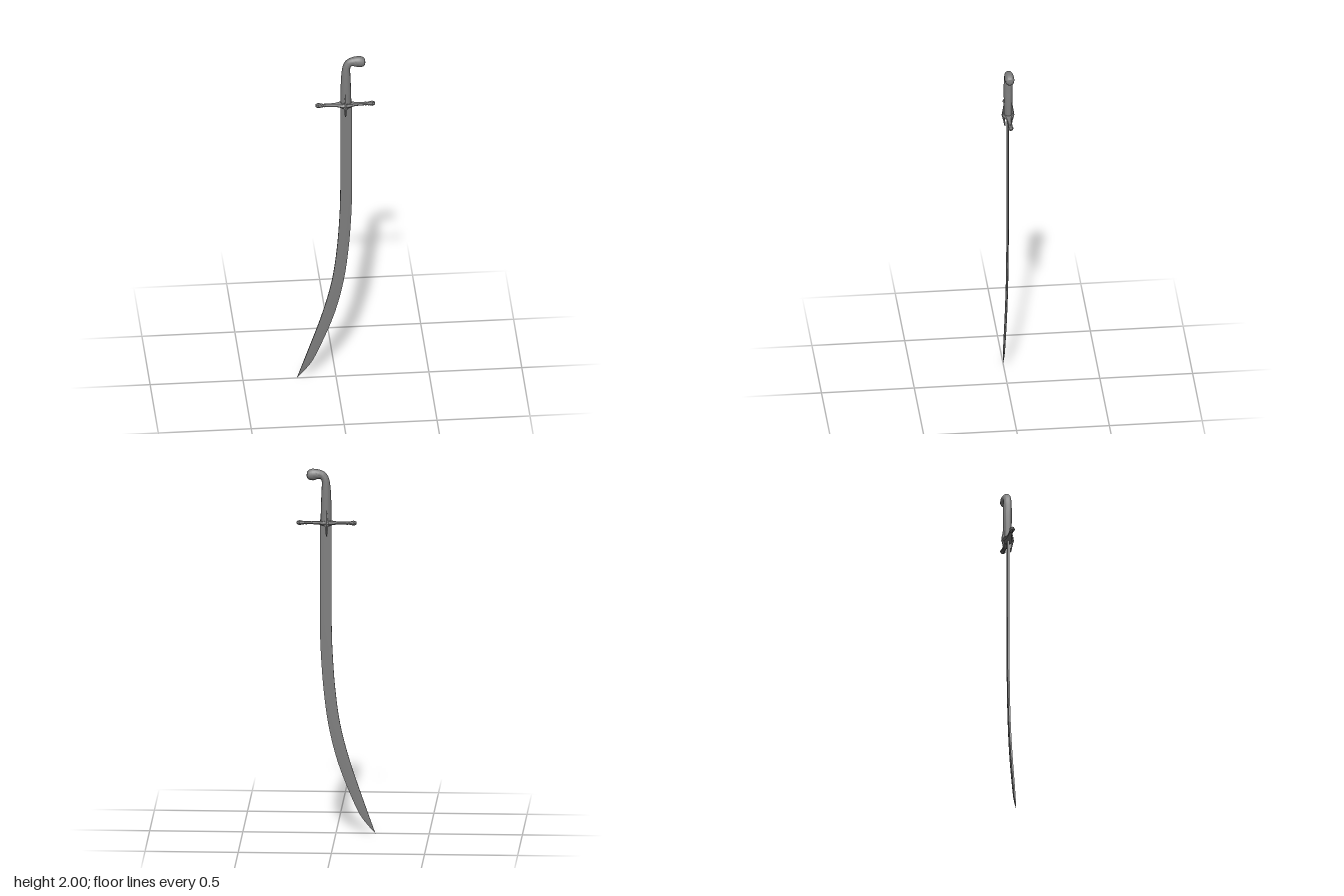
import * as THREE from 'three';
import { toCreasedNormals } from 'three/addons/utils/BufferGeometryUtils.js';

const X = new THREE.Vector3(1, 0, 0);
const Y = new THREE.Vector3(0, 1, 0);
const Z = new THREE.Vector3(0, 0, 1);
const GUARD_X = 0.05, GUARD_Y = 1.703;

// Closed skin over a list of rings; each ring turns right-handed about the direction of travel.
function loft(rings, crease) {
  const n = rings[0].length;
  const pos = [];
  const tri = (a, b, c) => { for (const p of [a, b, c]) pos.push(p.x, p.y, p.z); };
  for (let i = 0; i + 1 < rings.length; i++) {
    for (let j = 0; j < n; j++) {
      const k = (j + 1) % n;
      tri(rings[i][j], rings[i][k], rings[i + 1][k]);
      tri(rings[i][j], rings[i + 1][k], rings[i + 1][j]);
    }
  }
  const first = rings[0], last = rings[rings.length - 1];
  for (let j = 1; j + 1 < n; j++) {
    tri(first[0], first[j + 1], first[j]);
    tri(last[0], last[j], last[j + 1]);
  }
  const geo = new THREE.BufferGeometry();
  geo.setAttribute('position', new THREE.Float32BufferAttribute(pos, 3));
  return toCreasedNormals(geo, crease);
}

// Elliptical (or low-sided) ring around a centre in the plane of u and v.
function ring(c, u, v, ru, rv, sides) {
  return Array.from({ length: sides }, (_, j) => {
    const a = (j / sides) * Math.PI * 2;
    return c.clone().addScaledVector(u, ru * Math.cos(a)).addScaledVector(v, rv * Math.sin(a));
  });
}

// Curved blade: thick spine on -x, cutting edge on +x.
function bladeGeometry() {
  const profile = [ // y, spine x, edge x, half thickness
    [1.72, 0.024, 0.085, 0.005], [1.4, 0.024, 0.086, 0.005], [1.12, 0.023, 0.086, 0.005],
    [1.0, 0.019, 0.082, 0.005], [0.8, 0.005, 0.068, 0.005], [0.6, -0.022, 0.042, 0.0048],
    [0.4, -0.073, -0.006, 0.0046], [0.2, -0.14, -0.082, 0.0044], [0.1, -0.175, -0.129, 0.004],
    [0.05, -0.193, -0.166, 0.003], [0.0, -0.211, -0.2105, 0.0003],
  ];
  const along = (k) => new THREE.CatmullRomCurve3(
    profile.map((p) => new THREE.Vector3(p[k], p[0], p[3])), false, 'centripetal');
  const spine = along(1), edge = along(2);
  const rings = [];
  const steps = 40;
  for (let i = 0; i <= steps; i++) {
    const s = spine.getPoint(i / steps), e = edge.getPoint(i / steps);
    const at = (f, z) => new THREE.Vector3(
      THREE.MathUtils.lerp(s.x, e.x, f), THREE.MathUtils.lerp(s.y, e.y, f), z);
    rings.push([at(1, 0), at(0.6, s.z * 0.8), at(0, s.z), at(0, -s.z), at(0.6, -s.z * 0.8)]);
  }
  return loft(rings, 0.4);
}

// Grip that bends forward into a rounded pommel.
function gripGeometry() {
  const profile = [ // x, y, half width in plane, half depth
    [0.054, 1.7, 0.029, 0.021], [0.053, 1.8, 0.028, 0.023], [0.053, 1.88, 0.025, 0.0235],
    [0.057, 1.938, 0.021, 0.022], [0.073, 1.964, 0.022, 0.021], [0.1, 1.97, 0.027, 0.0245],
    [0.125, 1.968, 0.0315, 0.026], [0.146, 1.965, 0.026, 0.0235], [0.155, 1.964, 0.016, 0.016],
    [0.158, 1.964, 0.001, 0.001],
  ];
  const path = new THREE.CatmullRomCurve3(profile.map((p) => new THREE.Vector3(p[0], p[1], 0)));
  const size = new THREE.CatmullRomCurve3(profile.map((p) => new THREE.Vector3(p[2], p[3], 0)));
  const rings = [];
  const steps = 45;
  for (let i = 0; i <= steps; i++) {
    const t = path.getTangent(i / steps), r = size.getPoint(i / steps);
    rings.push(ring(path.getPoint(i / steps), new THREE.Vector3(-t.y, t.x, 0), Z, r.x, r.y, 20));
  }
  return loft(rings, 1.0);
}

// Crossbar: faceted, swelling to a diamond in the middle, with collars and bud-shaped ends.
function crossbarGeometry() {
  const half = [ // distance from centre, half height, half depth
    [0.0, 0.024, 0.035], [0.008, 0.019, 0.033], [0.022, 0.014, 0.028], [0.036, 0.011, 0.021],
    [0.055, 0.009, 0.015], [0.08, 0.008, 0.012], [0.104, 0.008, 0.011], [0.106, 0.0095, 0.012],
    [0.113, 0.0095, 0.012], [0.115, 0.008, 0.011], [0.12, 0.008, 0.011], [0.122, 0.0095, 0.012],
    [0.128, 0.0095, 0.012], [0.145, 0.014, 0.0155], [0.158, 0.009, 0.009], [0.161, 0.005, 0.005],
  ];
  const full = [
    ...half.slice(1).reverse().map(([d, h, w]) => [-d, h, w]),
    ...half,
  ];
  const rings = full.map(([d, h, w]) =>
    ring(new THREE.Vector3(GUARD_X + d, GUARD_Y, 0), Y, Z, h, w, 8));
  return loft(rings, 0.45);
}

// Langet: slender pointed tongue running up the grip and down beside the blade.
function langetGeometry(side) {
  const profile = [ // y, z, half depth, half width
    [1.632, 0.016, 0.001, 0.001], [1.645, 0.018, 0.004, 0.005], [1.665, 0.02, 0.005, 0.008],
    [1.685, 0.023, 0.007, 0.01], [1.703, 0.026, 0.008, 0.013], [1.72, 0.025, 0.007, 0.009],
    [1.745, 0.023, 0.004, 0.006], [1.765, 0.022, 0.003, 0.004], [1.778, 0.022, 0.001, 0.001],
  ];
  const rings = profile.map(([y, z, d, w]) =>
    ring(new THREE.Vector3(GUARD_X, y, side * z), Z, X, d, w, 6));
  return loft(rings, 0.45);
}

export function createModel() {
  const model = new THREE.Group();
  model.name = 'sabre';
  const material = new THREE.MeshStandardMaterial({ color: 0x7f7f7f });
  const add = (name, geometry, parent = model) => {
    const mesh = new THREE.Mesh(geometry, material);
    mesh.name = name;
    parent.add(mesh);
  };

  add('blade', bladeGeometry());
  add('grip', gripGeometry());

  const guard = new THREE.Group();
  guard.name = 'guard';
  add('crossbar', crossbarGeometry(), guard);
  add('frontLanget', langetGeometry(1), guard);
  add('backLanget', langetGeometry(-1), guard);
  model.add(guard);

  return model;
}
